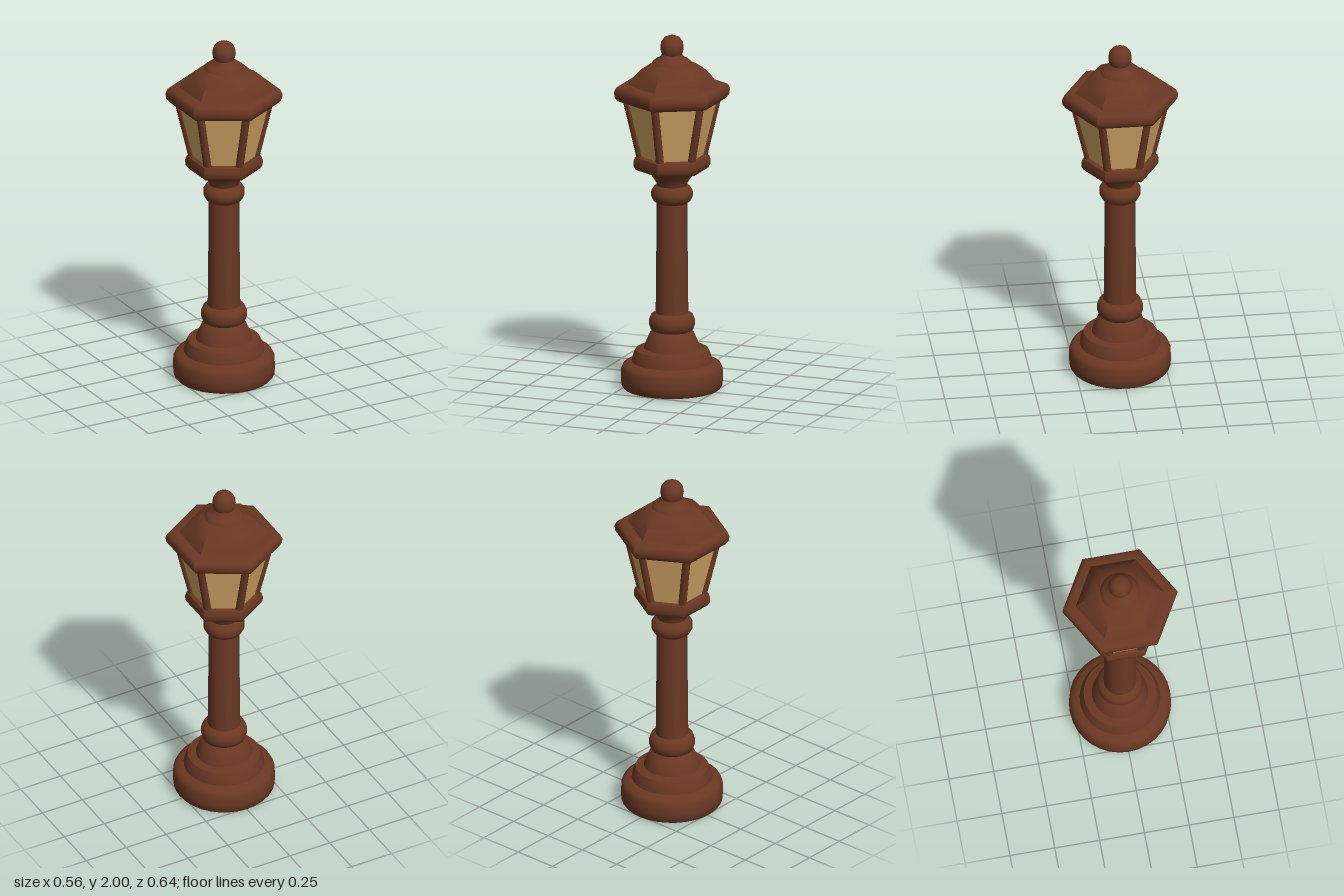
import * as THREE from 'three';
import { toCreasedNormals } from 'three/addons/utils/BufferGeometryUtils.js';

export function createModel() {
  const group = new THREE.Group();
  const material = (name, color) => {
    const m = new THREE.MeshStandardMaterial({ color });
    m.name = name;
    return m;
  };
  const brown = material('brown iron', 0x6a3823);
  const glass = material('warm glass', 0xd2a564);
  const amber = material('dark amber', 0x855008);

  const add = (name, geometry, mat, parent = group) => {
    const mesh = new THREE.Mesh(geometry, mat);
    mesh.name = name;
    parent.add(mesh);
    return mesh;
  };
  // Turned part from [radius, height] pairs, listed from bottom to top
  const turned = (name, pairs, sides, mat = brown, crease = 0.7) => {
    const points = pairs.map(([r, y]) => new THREE.Vector2(r, y));
    return add(name, toCreasedNormals(new THREE.LatheGeometry(points, sides), crease), mat);
  };

  // Stepped round foot
  turned('base', [
    [0, 0.005], [0.265, 0.005], [0.277, 0.02], [0.281, 0.06], [0.279, 0.115], [0.268, 0.138],
    [0.245, 0.15], [0.222, 0.155], [0.215, 0.19], [0.2, 0.222], [0.155, 0.23],
    [0.145, 0.26], [0.122, 0.315], [0.1, 0.335],
  ], 32);
  turned('lowerCollar', [
    [0.1, 0.325], [0.118, 0.338], [0.126, 0.362], [0.126, 0.39], [0.115, 0.418], [0.085, 0.432],
  ], 32, brown, 1);
  // Amber patch under half of the foot
  const patch = add('basePatch', new THREE.CircleGeometry(0.25, 24, 0, Math.PI), amber);
  patch.rotation.set(Math.PI / 2, 0, Math.PI / 4);
  patch.position.y = 0;

  // Shaft with its upper collar and flared neck
  turned('column', [[0.09, 0.42], [0.088, 0.6], [0.084, 1.07]], 32);
  turned('upperCollar', [
    [0.08, 1.05], [0.102, 1.066], [0.114, 1.09], [0.114, 1.118], [0.1, 1.143], [0.08, 1.155],
  ], 32, brown, 1);
  turned('neck', [[0.08, 1.14], [0.087, 1.17], [0.11, 1.205], [0.14, 1.245]], 32);

  // Six-sided lantern: sill, glass and corner posts
  turned('lanternSill', [
    [0, 1.235], [0.17, 1.235], [0.2, 1.243], [0.212, 1.262], [0.214, 1.29],
    [0.206, 1.315], [0.18, 1.324], [0, 1.324],
  ], 6, brown, 0.8);
  turned('lanternGlass', [[0.18, 1.31], [0.262, 1.645]], 6, glass, 0.2);

  const posts = new THREE.Group();
  posts.name = 'lanternPosts';
  group.add(posts);
  for (let i = 0; i < 6; i++) {
    const a = i * Math.PI / 3;
    const at = (r, y) => new THREE.Vector3(r * Math.sin(a), y, r * Math.cos(a));
    const path = new THREE.LineCurve3(at(0.17, 1.3), at(0.252, 1.65));
    add('lanternPost', new THREE.TubeGeometry(path, 1, 0.023, 10), brown, posts);
  }

  // Hexagonal eave and curved roof
  turned('eave', [
    [0, 1.63], [0.27, 1.627], [0.302, 1.637], [0.319, 1.66], [0.321, 1.69],
    [0.31, 1.714], [0.285, 1.724], [0.24, 1.726],
  ], 6, brown, 0.8);
  turned('roof', [
    [0.255, 1.715], [0.235, 1.745], [0.205, 1.782], [0.17, 1.815], [0.125, 1.842], [0.08, 1.855],
  ], 6, brown, 0.8);

  // Round cap and finial
  turned('roofCap', [
    [0.115, 1.83], [0.108, 1.849], [0.09, 1.865], [0.068, 1.876], [0.055, 1.895],
  ], 24);
  turned('finial', [
    [0.05, 1.885], [0.06, 1.905], [0.065, 1.932], [0.06, 1.962], [0.045, 1.986], [0.022, 1.998], [0, 2],
  ], 24, brown, 1);

  return group;
}
